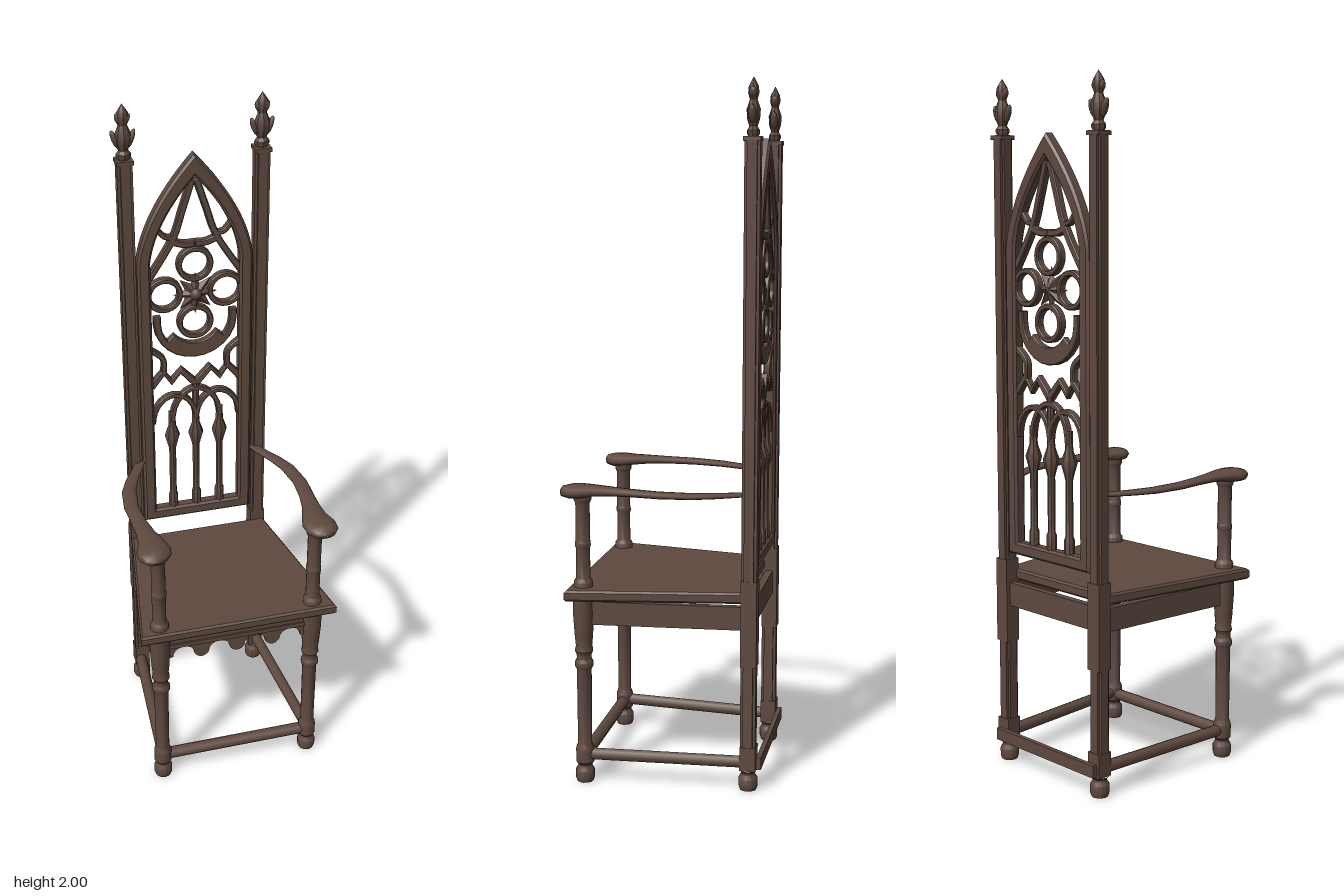
import * as THREE from 'three';
import { toCreasedNormals } from 'three/addons/utils/BufferGeometryUtils.js';

const wood = new THREE.MeshStandardMaterial({ color: 0x5e493f });
wood.name = 'darkWood';

const V = (x, y) => new THREE.Vector2(x, y);

export function createModel() {
  const chair = new THREE.Group();
  chair.name = 'gothicArmchair';

  function add(name, geo, x = 0, y = 0, z = 0, parent = chair) {
    const m = new THREE.Mesh(geo, wood);
    m.name = name;
    m.position.set(x, y, z);
    parent.add(m);
    return m;
  }
  const box = (w, h, d) => new THREE.BoxGeometry(w, h, d);
  const lathe = (pts, n = 12) =>
    toCreasedNormals(new THREE.LatheGeometry(pts.map(([r, y]) => V(r, y)), n), 0.6);
  // Plate in the XY plane, centred on z = 0
  function plate(shape, depth, bevel = 0) {
    const g = new THREE.ExtrudeGeometry(shape, {
      depth: depth - 2 * bevel, bevelEnabled: bevel > 0, bevelThickness: bevel,
      bevelSize: bevel, bevelOffset: -bevel, bevelSegments: 1, curveSegments: 14,
    });
    return toCreasedNormals(g.translate(0, 0, bevel - depth / 2), 0.6);
  }
  // Straight rail between two points at one height
  function rail(name, geo, x1, z1, x2, z2, y) {
    const m = add(name, geo, (x1 + x2) / 2, y, (z1 + z2) / 2);
    m.rotation.y = Math.atan2(-(z2 - z1), x2 - x1);
  }
  // Carved rib of constant width following a curve
  function rib(pts, width, depth = 0.022, smooth = true) {
    const p = pts.map(([x, y]) => V(x, y));
    const c = smooth ? new THREE.SplineCurve(p).getPoints(14) : p;
    const a = [], b = [];
    c.forEach((q, i) => {
      const t = c[Math.min(i + 1, c.length - 1)].clone().sub(c[Math.max(i - 1, 0)]).normalize();
      a.push(V(q.x - t.y * width / 2, q.y + t.x * width / 2));
      b.unshift(V(q.x + t.y * width / 2, q.y - t.x * width / 2));
    });
    return plate(new THREE.Shape([...a, ...b]), depth, 0.003);
  }
  function ring(r, width) {
    const s = new THREE.Shape().absarc(0, 0, r + width / 2, 0, Math.PI * 2);
    s.holes.push(new THREE.Path().absarc(0, 0, r - width / 2, 0, Math.PI * 2, true));
    return plate(s, 0.024, 0.003);
  }

  // Tapered seat with a moulded edge
  const seat = plate(new THREE.Shape([V(-0.3, 0.265), V(0.3, 0.265), V(0.218, -0.235), V(-0.218, -0.235)]), 0.032, 0.006);
  add('seat', seat.rotateX(Math.PI / 2), 0, 0.57, 0);

  // Front apron with small arches and pendants
  const apron = new THREE.Shape();
  apron.moveTo(-0.215, 0.556);
  apron.lineTo(-0.215, 0.47);
  for (let i = 0; i < 4; i++) {
    const x = -0.22 + i * 0.11;
    apron.lineTo(x + 0.022, 0.472);
    apron.quadraticCurveTo(x + 0.024, 0.503, x + 0.055, 0.505);
    apron.quadraticCurveTo(x + 0.086, 0.503, x + 0.088, 0.472);
    if (i < 3) apron.quadraticCurveTo(x + 0.11, 0.442, x + 0.132, 0.472);
  }
  apron.lineTo(0.215, 0.47);
  apron.lineTo(0.215, 0.556);
  add('frontApron', plate(apron, 0.022), 0, 0, 0.225);
  add('frontApronMoulding', box(0.42, 0.014, 0.032), 0, 0.515, 0.225);
  add('backApron', box(0.37, 0.07, 0.022), 0, 0.515, -0.25);

  // Stretchers joining the legs
  const round = (l) => new THREE.CylinderGeometry(0.018, 0.018, l, 8).rotateZ(Math.PI / 2);
  rail('frontStretcher', round(0.46), -0.235, 0.225, 0.235, 0.225, 0.078);
  add('backStretcher', box(0.42, 0.036, 0.014), 0, 0.082, -0.282);

  const postShape = new THREE.Shape();
  const o = 0.022, n = 0.014;
  [[n, -o], [n, -n], [o, -n], [o, n], [n, n], [n, o], [-n, o], [-n, n], [-o, n], [-o, -n], [-n, -n], [-n, -o]]
    .forEach(([x, y], i) => (i ? postShape.lineTo(x, y) : postShape.moveTo(x, y)));

  // Cross-sections of an arm: z, x, half width, y, half height
  const armSections = [
    [-0.245, 0.18, 0.016, 0.862, 0.006], [-0.2, 0.2, 0.018, 0.862, 0.007], [-0.15, 0.226, 0.02, 0.863, 0.008],
    [-0.09, 0.249, 0.022, 0.864, 0.009], [0, 0.261, 0.022, 0.866, 0.01], [0.08, 0.256, 0.023, 0.868, 0.011],
    [0.14, 0.25, 0.028, 0.869, 0.013], [0.19, 0.244, 0.039, 0.868, 0.016], [0.225, 0.246, 0.05, 0.866, 0.02],
    [0.255, 0.248, 0.047, 0.865, 0.02], [0.277, 0.25, 0.03, 0.865, 0.015], [0.286, 0.251, 0.001, 0.865, 0.001],
  ];
  function armGeometry(s) {
    const N = 12, pos = [], idx = [];
    armSections.forEach(([z, x, w, y, h], k) => {
      for (let i = 0; i < N; i++) {
        const a = (i / N) * Math.PI * 2;
        pos.push(s * x + Math.cos(a) * w, y + Math.sin(a) * h, z);
        if (k === 0) continue;
        const p = (k - 1) * N + i, q = (k - 1) * N + (i + 1) % N;
        idx.push(p, q, q + N, p, q + N, p + N);
      }
    });
    const g = new THREE.BufferGeometry();
    g.setAttribute('position', new THREE.Float32BufferAttribute(pos, 3));
    g.setIndex(idx);
    g.computeVertexNormals();
    return g;
  }

  const foot = [[0, 0], [0.024, 0], [0.028, 0.012], [0.028, 0.034], [0.021, 0.045], [0.021, 0.052], [0.027, 0.06]];
  for (const s of [-1, 1]) {
    const side = s > 0 ? 'left' : 'right';
    // Turned front leg and arm support
    add(side + 'FrontLeg', lathe([...foot, [0.027, 0.1], [0.021, 0.115], [0.022, 0.34], [0.027, 0.35], [0.027, 0.362],
      [0.022, 0.37], [0.022, 0.385], [0.027, 0.395], [0.024, 0.41], [0.027, 0.44], [0.031, 0.5], [0.031, 0.556]]), s * 0.235, 0, 0.225);
    add(side + 'ArmSupport', lathe([[0.028, 0.58], [0.028, 0.6], [0.021, 0.61], [0.021, 0.7], [0.023, 0.705],
      [0.023, 0.715], [0.021, 0.72], [0.021, 0.83], [0.026, 0.84], [0.026, 0.86]]), s * 0.235, 0, 0.225);
    add(side + 'Arm', armGeometry(s));

    // Side apron and stretcher follow the taper of the seat
    rail(side + 'SideApron', box(0.44, 0.068, 0.02), s * 0.236, 0.21, s * 0.2, -0.23, 0.509);
    rail(side + 'SideStretcher', round(0.5), s * 0.235, 0.225, s * 0.2, -0.273, 0.082);

    // Back post with notched corners, square lower block and turned foot
    const x = s * 0.197;
    const post = new THREE.ExtrudeGeometry(postShape, { depth: 1.78, bevelEnabled: false }).rotateX(-Math.PI / 2);
    add(side + 'BackPost', post, x, 0.06, -0.25);
    add(side + 'BackPostBlock', box(0.046, 0.25, 0.046), x, 0.495, -0.251);
    add(side + 'BackPostBase', box(0.046, 0.07, 0.046), x, 0.095, -0.251);
    add(side + 'BackFoot', lathe(foot), x, 0, -0.25);
    add(side + 'PostCap', box(0.048, 0.012, 0.048), x, 1.838, -0.25);

    // Leafy finial, flattened from front to back
    const finial = new THREE.Group();
    finial.name = side + 'Finial';
    finial.position.set(x, 1.84, -0.25);
    chair.add(finial);
    add('finialStem', lathe([[0.015, 0], [0.022, 0.012], [0.022, 0.02], [0.014, 0.03], [0.022, 0.05], [0.024, 0.075],
      [0.013, 0.1], [0.019, 0.118], [0.017, 0.135], [0.009, 0.147], [0, 0.16]], 8), 0, 0, 0, finial).scale.z = 0.8;
    for (const [h, r, l] of [[0.062, 0.023, 0.055], [0.118, 0.012, 0.032]])
      for (const t of [-1, 1]) {
        const leaf = add('finialLeaf', new THREE.SphereGeometry(1, 8, 6), t * r, h, 0, finial);
        leaf.scale.set(0.009, l / 2, 0.011);
        leaf.rotation.z = -t * 0.35;
      }
  }

  // Pointed back frame
  const back = new THREE.Group();
  back.name = 'backPanel';
  back.position.z = -0.25;
  chair.add(back);
  const lancet = (path, w, y0, spring, top) => {
    path.moveTo(-w, y0);
    path.lineTo(w, y0);
    path.lineTo(w, spring);
    path.quadraticCurveTo(w * 0.88, spring + (top - spring) * 0.48, 0, top);
    path.quadraticCurveTo(-w * 0.88, spring + (top - spring) * 0.48, -w, spring);
    path.closePath();
    return path;
  };
  const frame = lancet(new THREE.Shape(), 0.172, 0.642, 1.53, 1.845);
  frame.holes.push(lancet(new THREE.Path(), 0.133, 0.68, 1.53, 1.78));
  add('backFrame', plate(frame, 0.038, 0.007), 0, 0, 0, back);

  // Rose tracery: four lobes, a thick crescent and a flower
  for (const [x, y] of [[0, 1.51], [0, 1.325], [-0.092, 1.42], [0.092, 1.42]])
    add('roseLobe', ring(0.047, 0.016), x, y, 0, back);
  const arc = (cx, cy, r, a, b, squash = 1) => Array.from({ length: 9 }, (_, i) => {
    const t = a + (b - a) * i / 8;
    return [cx + r * Math.cos(t), cy + r * squash * Math.sin(t)];
  });
  add('roseCrescent', rib(arc(0, 1.335, 0.117, -Math.PI * 1.05, Math.PI * 0.05), 0.022), 0, 0, 0, back);
  add('crescentBase', rib(arc(0, 1.335, 0.095, -Math.PI * 0.8, -Math.PI * 0.2), 0.034), 0, 0, 0, back);
  for (let i = 0; i < 4; i++) {
    const petal = add('flowerPetal', new THREE.OctahedronGeometry(1), 0, 1.418, 0.006, back);
    petal.scale.set(0.066, 0.024, 0.018);
    petal.rotation.z = i * Math.PI / 4;
  }
  add('flowerBoss', new THREE.SphereGeometry(0.019, 10, 8), 0, 1.418, 0.012, back);

  // Mirrored ribs in the pointed head and above the lower arches
  for (const s of [-1, 1]) {
    const put = (name, pts, w, smooth) =>
      add(name, rib(pts.map(([x, y]) => [s * x, y]), w, 0.022, smooth), 0, 0, 0, back);
    put('headRib', [[0.006, 1.77], [0.035, 1.68], [0.066, 1.59], [0.138, 1.475]], 0.02);
    put('headBranch', [[0.06, 1.6], [0.09, 1.605], [0.12, 1.645]], 0.015);
    put('headBase', [[0, 1.575], [0.035, 1.575], [0.075, 1.59]], 0.02);
    put('cuspRib', [[0.138, 1.12], [0.1, 1.165], [0.075, 1.13], [0.045, 1.165], [0, 1.115]], 0.022, false);
    put('cuspLink', [[0.138, 1.245], [0.1, 1.21], [0.1, 1.155]], 0.017);
    put('outerArch', arc(0.0675, 0.99, 0.068, 0, Math.PI, 1.35), 0.016);
  }
  add('centreArch', rib(arc(0, 0.99, 0.075, 0, Math.PI, 1.45), 0.016), 0, 0, 0, back);

  // Slender mullions with swollen capitals
  for (const x of [-0.075, 0, 0.075])
    add('mullion', lathe([[0.015, 0.675], [0.015, 0.72], [0.011, 0.73], [0.011, 0.89], [0.013, 0.9], [0.024, 0.94],
      [0.012, 0.975], [0.011, 1.0], [0.011, x ? 1.03 : 1.12]], 8), x, 0, 0, back);

  return chair;
}
